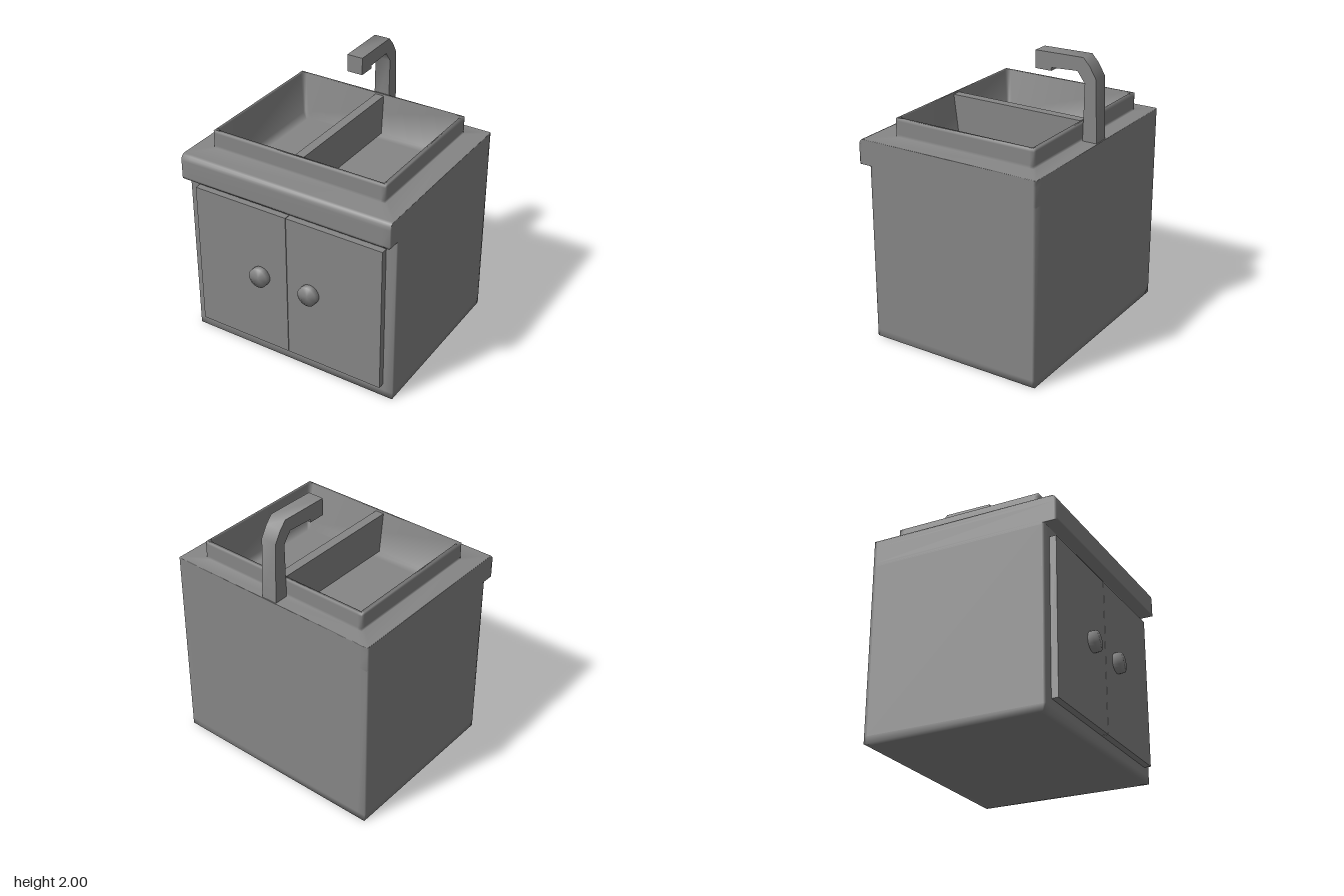
import * as THREE from 'three';
import { toCreasedNormals } from 'three/addons/utils/BufferGeometryUtils.js';

// Rectangle in plan, counter-clockwise from above, with extra points
// mx and mz in from each corner so that shading softens only near the edges
function ring(y, x0, x1, z0, z1, mx = 0.06, mz = 0.02) {
  return [
    [x0, z1], [x0 + mx, z1], [x1 - mx, z1],
    [x1, z1], [x1, z1 - mz], [x1, z0 + mz],
    [x1, z0], [x1 - mx, z0], [x0 + mx, z0],
    [x0, z0], [x0, z0 + mz], [x0, z1 - mz],
  ].map(([x, z]) => [x, y, z]);
}

// Smooth skin through the rings, closed at both ends
function loft(rings) {
  const n = rings[0].length;
  const last = (rings.length - 1) * n;
  const index = [];
  for (let r = 0; r < last; r += n) {
    for (let i = 0; i < n; i++) {
      const j = (i + 1) % n;
      index.push(r + i, r + j, r + n + j, r + i, r + n + j, r + n + i);
    }
  }
  for (let i = 1; i < n - 1; i++) {
    index.push(0, i + 1, i, last, last + i, last + i + 1);
  }
  const geometry = new THREE.BufferGeometry();
  geometry.setAttribute('position', new THREE.Float32BufferAttribute(rings.flat(2), 3));
  geometry.setIndex(index);
  geometry.computeVertexNormals();
  return geometry;
}

export function createModel() {
  const group = new THREE.Group();
  const material = new THREE.MeshStandardMaterial({ color: 0x868686 });

  const add = (name, geometry, x = 0, y = 0, z = 0) => {
    const mesh = new THREE.Mesh(geometry, material);
    mesh.name = name;
    mesh.position.set(x, y, z);
    group.add(mesh);
  };

  // Box given by its lower and upper limits on each axis
  const box = (name, x0, x1, y0, y1, z0, z1) =>
    add(name, new THREE.BoxGeometry(x1 - x0, y1 - y0, z1 - z0),
      (x0 + x1) / 2, (y0 + y1) / 2, (z0 + z1) / 2);

  // Cabinet, rounded counter lip, raised rim and sunken basin in one skin
  const outer = (y, z1) => ring(y, -0.797, 0.797, -0.68, z1);
  const rim = (y, inset) =>
    ring(y, -0.665 + inset, 0.648 - inset, -0.57 + inset, 0.487 - inset, 0.03, 0.03);
  const floor = (inset) =>
    ring(1.28, -0.61 + inset, 0.608 - inset, -0.525 + inset, 0.427 - inset, 0.03, 0.03);
  add('cabinetWithBasin', loft([
    ring(0, -0.757, 0.757, -0.64, 0.55),
    outer(0, 0.593), outer(0.05, 0.593), outer(1.25, 0.593), outer(1.26, 0.593),
    outer(1.26, 0.68), outer(1.275, 0.68), outer(1.395, 0.68),
    outer(1.418, 0.675), outer(1.433, 0.663), outer(1.44, 0.645),
    rim(1.44, 0), rim(1.46, 0), rim(1.55, 0), rim(1.57, 0), rim(1.57, 0.022),
    floor(0), floor(0.08),
  ]));
  box('basinDivider', -0.035, 0.03, 1.27, 1.565, -0.55, 0.465);

  // Doors and round knobs
  box('rightDoor', -0.725, -0.002, 0.1, 1.19, 0.58, 0.64);
  box('leftDoor', 0.002, 0.725, 0.1, 1.19, 0.58, 0.64);
  const knob = new THREE.CylinderGeometry(0.072, 0.072, 0.05, 24);
  knob.rotateX(Math.PI / 2);
  const softKnob = toCreasedNormals(knob, 2);
  add('rightKnob', softKnob, -0.21, 0.66, 0.657);
  add('leftKnob', softKnob, 0.182, 0.66, 0.657);

  // Faucet: side profile of [z, y] points with a bend and a downturned tip
  const profile = [
    [-0.573, 1.43], [-0.677, 1.43], [-0.66, 1.87], [-0.614, 1.947],
    [-0.566, 2.0], [-0.21, 1.995], [-0.21, 1.873], [-0.33, 1.873],
    [-0.33, 1.895], [-0.524, 1.905], [-0.58, 1.83]];
  const faucet = new THREE.ExtrudeGeometry(
    new THREE.Shape(profile.map(([z, y]) => new THREE.Vector2(-z, y))),
    { depth: 0.115, bevelEnabled: false });
  faucet.rotateY(Math.PI / 2);
  add('faucet', toCreasedNormals(faucet, 1), -0.06);

  return group;
}
